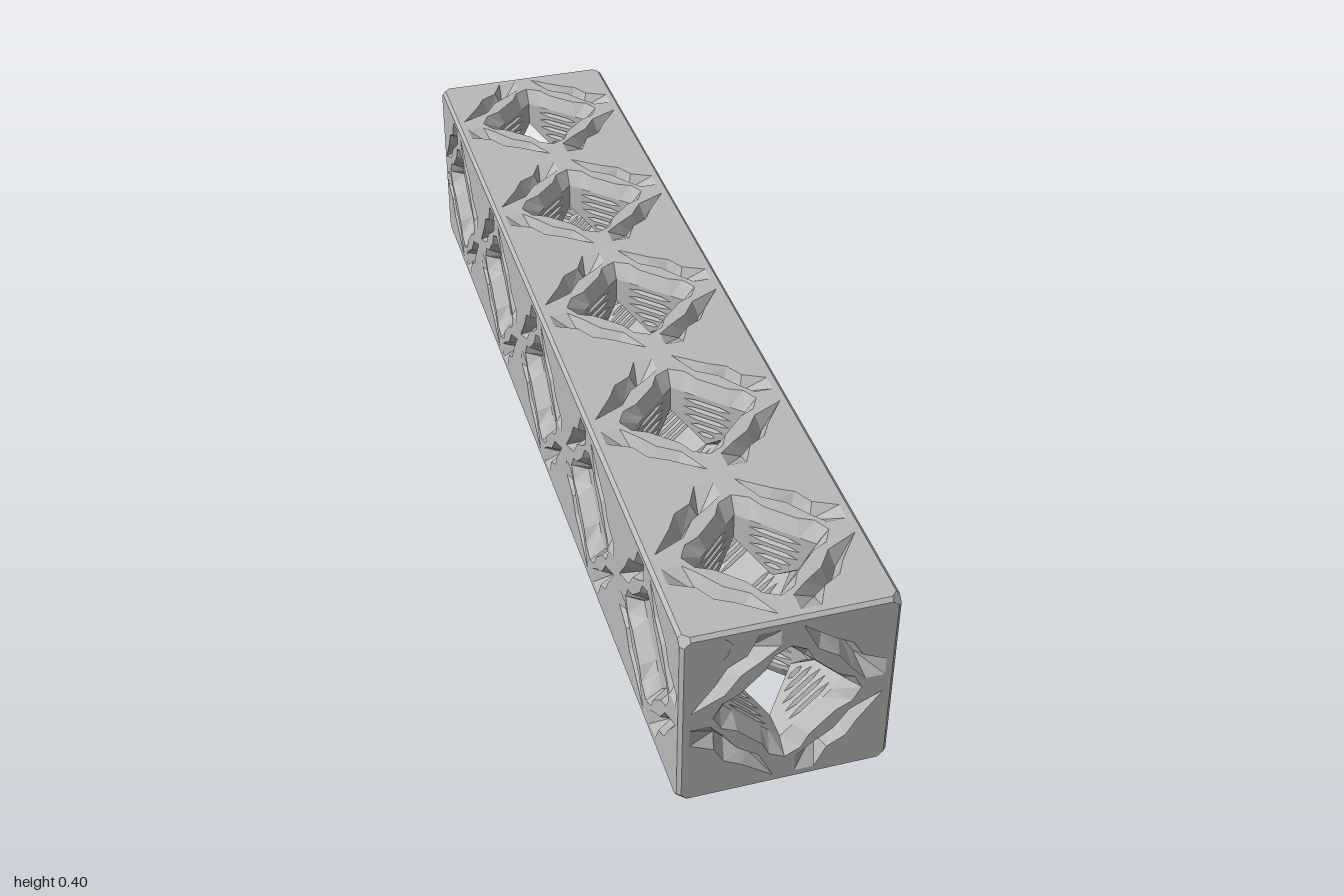
import * as THREE from 'three';

const V = (x, y, z = 0) => new THREE.Vector3(x, y, z);
const grey = new THREE.MeshStandardMaterial({ color: 0xbababa });
grey.name = 'plain grey';

const CELL = 0.4, HALF = 0.2, BORE = 0.116; // cell size, half size, tunnel half diagonal
const FLARE = 0.03;                         // depth of the flared tunnel mouth
const BEVEL = 0.007, CORNER = 0.018;        // edge bevel and corner cut

// Outlines for one quadrant of a cell face, running from the y axis to the x axis
const rim = [[0, 0.138], [0.03, 0.122], [0.045, 0.092], [0.092, 0.045], [0.122, 0.03], [0.138, 0]];
const pocketOuter = [[0.058, 0.18], [0.08, 0.135], [0.115, 0.115], [0.135, 0.08], [0.18, 0.058]];
const pocketInner = [[0.02, 0.143], [0.05, 0.118], [0.09, 0.09], [0.118, 0.05], [0.143, 0.02]];
const pocketValley = [[0.02, 0.18, 0], [0.065, 0.127, -0.03], [0.103, 0.103, -0.045], [0.127, 0.065, -0.03], [0.18, 0.02, 0]];

// Collects flat faces, turning each one towards a given direction
class Faces {
  constructor() { this.pos = []; }
  tri(a, b, c, hint) {
    const n = b.clone().sub(a).cross(c.clone().sub(a));
    if (n.lengthSq() < 1e-16) return;
    const list = n.dot(hint) < 0 ? [a, c, b] : [a, b, c];
    for (const p of list) this.pos.push(p.x, p.y, p.z);
  }
  fan(pts, hint) {
    for (let i = 1; i < pts.length - 1; i++) this.tri(pts[0], pts[i], pts[i + 1], hint);
  }
  strip(a, b, hint = V(0, 0, 1)) {
    for (let i = 0; i < a.length - 1; i++) this.fan([a[i], a[i + 1], b[i + 1], b[i]], hint);
  }
  build() {
    const g = new THREE.BufferGeometry();
    g.setAttribute('position', new THREE.Float32BufferAttribute(this.pos, 3));
    g.computeVertexNormals();
    return g;
  }
}

// Turn a point by q quarter turns
function turn([x, y, z = 0], q) {
  for (let i = 0; i < q; i++) [x, y] = [-y, x];
  return V(x, y, z);
}

function path(pts, cx) {
  return new THREE.Path(pts.map(p => new THREE.Vector2(p.x + cx, p.y)));
}

// Flat face with cut corners, holes for the tunnel mouth and four pockets in each cell
function panelGeometry(halfLength, cells) {
  const a = halfLength, b = HALF, out = [];
  for (const [sx, sy] of [[1, 1], [-1, 1], [-1, -1], [1, -1]]) {
    const pair = [[sx * (a - BEVEL), sy * (b - CORNER)], [sx * (a - CORNER), sy * (b - BEVEL)]];
    if (sx * sy < 0) pair.reverse();
    for (const p of pair) out.push(new THREE.Vector2(...p));
  }
  const shape = new THREE.Shape(out);
  const pocket = [pocketValley[0], ...pocketOuter, pocketValley[4], ...pocketInner.slice().reverse()]
    .map(([x, y]) => [x, y]);
  for (const cx of cells) {
    const mouth = [];
    for (const q of [3, 2, 1, 0]) {
      mouth.push(...rim.slice(0, -1).map(p => turn(p, q)));
      shape.holes.push(path(pocket.map(p => turn(p, q)), cx));
    }
    shape.holes.push(path(mouth, cx));
  }
  return new THREE.ShapeGeometry(shape);
}

// Wavy flare from the face down to the diamond tunnel
function mouthGeometry() {
  const f = new Faces();
  for (let q = 0; q < 4; q++) {
    const inner = rim.map(([x, y]) => [BORE * x / (x + y), BORE * y / (x + y), -FLARE]);
    f.strip(rim.map(p => turn(p, q)), inner.map(p => turn(p, q)));
  }
  return f.build();
}

// V-shaped pockets around the mouth
function pocketGeometry() {
  const f = new Faces();
  for (let q = 0; q < 4; q++) {
    const valley = pocketValley.map(p => turn(p, q));
    f.strip(valley, pocketOuter.map(p => turn(p, q)));
    f.strip(valley, pocketInner.map(p => turn(p, q)));
  }
  return f.build();
}

// Slots across a tunnel wall: distance along the tunnel, half width
const slots = [[0.155, 0.052], [0.136, 0.052], [0.117, 0.05], [0.098, 0.036], [0.081, 0.018]];

// One tunnel wall, ending where it meets the two crossing tunnels
function wallGeometry(top) {
  const w = BORE / Math.SQRT2;
  const shape = new THREE.Shape([[-w, top], [-w, BORE], [0, BORE / 2], [w, BORE], [w, top]]
    .map(p => new THREE.Vector2(...p)));
  for (const [z, h] of slots) {
    shape.holes.push(path([V(-h, z), V(-h / 2, z + 0.005), V(h / 2, z + 0.005), V(h, z),
      V(h / 2, z - 0.005), V(-h / 2, z - 0.005)], 0));
  }
  return new THREE.ShapeGeometry(shape);
}

function slotGeometry() {
  const f = new Faces();
  for (const [z, h] of slots) {
    const valley = [V(-h, z), V(-h / 2, z, -0.009), V(h / 2, z, -0.009), V(h, z)];
    for (const s of [0.005, -0.005]) {
      f.strip(valley, [V(-h, z), V(-h / 2, z + s), V(h / 2, z + s), V(h, z)]);
    }
  }
  return f.build();
}

// Bevelled edges and corners of the whole beam
function bevelGeometry() {
  const f = new Faces(), h = [HALF, HALF, 1], signs = [-1, 1];
  for (let i = 0; i < 3; i++) {
    const j = (i + 1) % 3, l = (i + 2) % 3;
    for (const sj of signs) for (const sl of signs) {
      const at = (end, cj, cl) => {
        const p = [0, 0, 0];
        p[i] = end * (h[i] - CORNER);
        p[j] = sj * (h[j] - cj);
        p[l] = sl * (h[l] - cl);
        return V(...p);
      };
      const hint = [0, 0, 0];
      hint[j] = sj;
      hint[l] = sl;
      f.strip([at(-1, 0, BEVEL), at(1, 0, BEVEL)], [at(-1, BEVEL, 0), at(1, BEVEL, 0)], V(...hint));
    }
  }
  const c = BEVEL, k = CORNER;
  const hexagon = [[0, c, k], [0, k, c], [c, k, 0], [k, c, 0], [k, 0, c], [c, 0, k]];
  for (const sx of signs) for (const sy of signs) for (const sz of signs) {
    f.fan(hexagon.map(p => V(sx * (h[0] - p[0]), sy * (h[1] - p[1]), sz * (h[2] - p[2]))), V(sx, sy, sz));
  }
  return f.build();
}

export function createModel() {
  const model = new THREE.Group();
  model.name = 'latticeBeam';
  const beam = new THREE.Group();
  beam.name = 'beam';
  beam.position.y = HALF;
  model.add(beam);

  const add = (parent, name, geometry, x = 0, y = 0, z = 0) => {
    const m = new THREE.Mesh(geometry, grey);
    m.name = name;
    m.position.set(x, y, z);
    parent.add(m);
    return m;
  };

  const cells = [-2, -1, 0, 1, 2].map(i => i * CELL);
  const sidePanel = panelGeometry(1, cells), endPanel = panelGeometry(HALF, [0]);
  const mouth = mouthGeometry(), pockets = pocketGeometry(), slotFaces = slotGeometry();
  const openWall = wallGeometry(HALF - FLARE), joinedWall = wallGeometry(HALF);

  // Four slotted walls of half a tunnel, facing its axis
  const addTunnel = (parent, wall, x, z) => {
    const r = Math.SQRT1_2;
    for (let q = 0; q < 4; q++) {
      const holder = new THREE.Group();
      holder.name = 'tunnelWall';
      const basis = new THREE.Matrix4().makeBasis(V(r, -r, 0), V(0, 0, 1), V(-r, -r, 0));
      basis.setPosition(BORE / 2, BORE / 2, 0);
      basis.premultiply(new THREE.Matrix4().makeRotationZ(q * Math.PI / 2));
      basis.premultiply(new THREE.Matrix4().makeTranslation(x, 0, z));
      basis.decompose(holder.position, holder.quaternion, holder.scale);
      add(holder, 'wall', wall);
      add(holder, 'wallSlots', slotFaces);
      parent.add(holder);
    }
  };

  // Four long sides
  for (let k = 0; k < 4; k++) {
    const side = new THREE.Group();
    side.name = 'longSide';
    side.rotation.set(0, Math.PI / 2, k * Math.PI / 2, 'ZYX');
    add(side, 'sidePanel', sidePanel, 0, 0, HALF);
    for (const x of cells) {
      add(side, 'tunnelMouth', mouth, x, 0, HALF);
      add(side, 'pockets', pockets, x, 0, HALF);
      addTunnel(side, openWall, x, 0);
    }
    beam.add(side);
  }

  // Two ends, each with half of the lengthwise tunnel
  for (const turnY of [0, Math.PI]) {
    const end = new THREE.Group();
    end.name = turnY ? 'backEnd' : 'frontEnd';
    end.rotation.y = turnY;
    add(end, 'endPanel', endPanel, 0, 0, 1);
    add(end, 'tunnelMouth', mouth, 0, 0, 1);
    add(end, 'pockets', pockets, 0, 0, 1);
    for (const z of cells) addTunnel(end, z > 0.7 ? openWall : joinedWall, 0, z);
    beam.add(end);
  }

  // Small crescent on the front end
  const crescent = new THREE.Shape();
  crescent.moveTo(-0.122, 0.186);
  crescent.quadraticCurveTo(-0.086, 0.16, -0.122, 0.133);
  crescent.lineTo(-0.122, 0.139);
  crescent.quadraticCurveTo(-0.102, 0.16, -0.122, 0.18);
  add(beam, 'crescentMark', new THREE.ExtrudeGeometry(crescent, { depth: 0.001, bevelEnabled: false, curveSegments: 8 }), 0, 0, 1);

  add(beam, 'bevels', bevelGeometry());
  return model;
}
